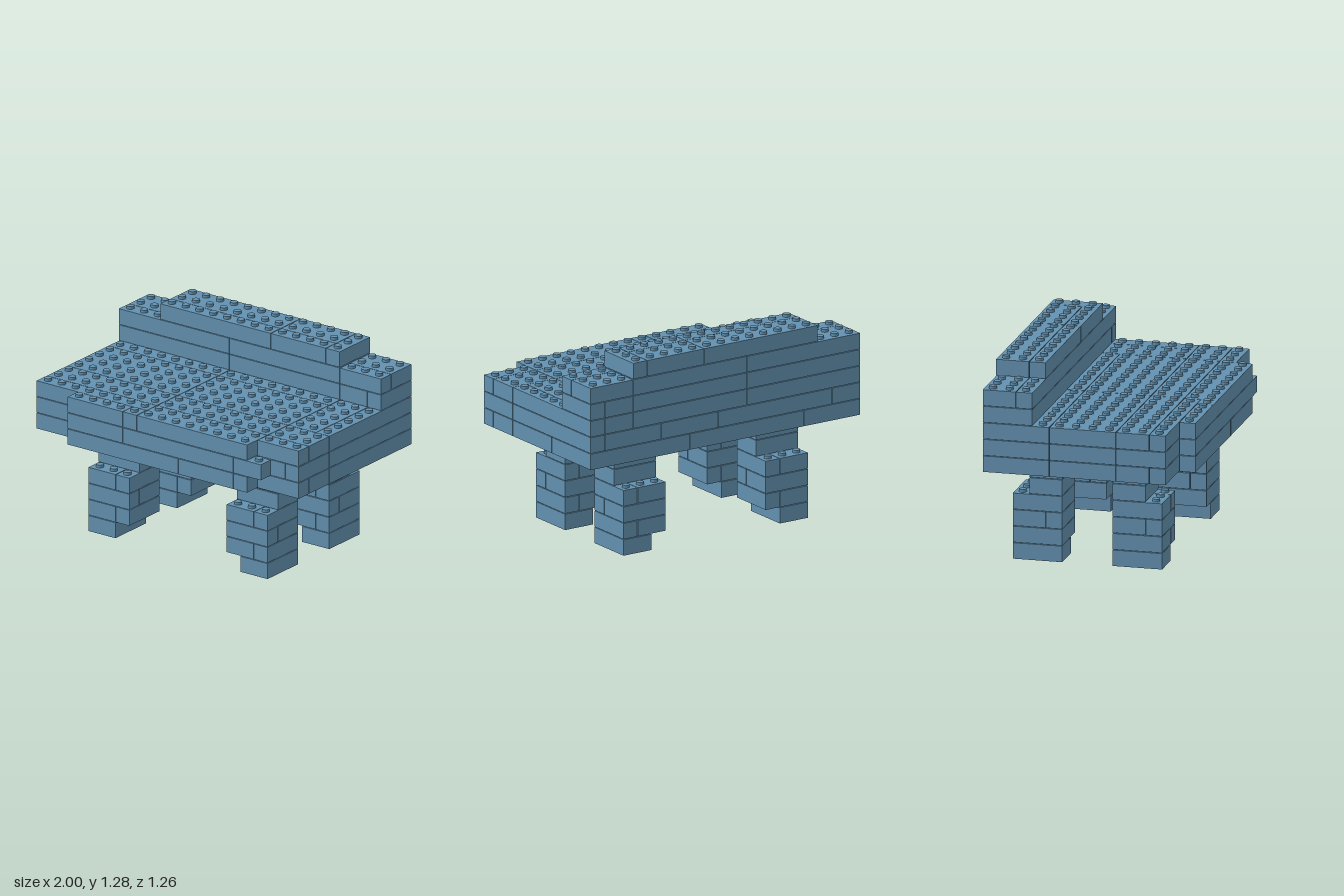
import * as THREE from 'three';
import { mergeGeometries } from 'three/addons/utils/BufferGeometryUtils.js';

const GAP = 0.004;             // seam between bricks
const P = (2 + GAP) / 19;      // grid pitch, also the layer height
const COLS = 19, ROWS = 12;
const STUD_R = 0.024, STUD_H = 0.018;

// Split a band of rows z0..z1 into bricks at the given columns
const band = (y, z0, z1, ...xs) =>
  xs.slice(1).map((x1, i) => ({ y, z0, z1, x0: xs[i], x1 }));

// One leg: narrow foot, stacked shin with a studded ledge, slimmer upper leg
function legBricks(x0, footX, splitX, z0, z1, splitZ, upperZ0, upperZ1) {
  const x1 = x0 + 3;
  return [
    ...band(0, z0, z1, footX, footX + 2),
    ...band(1, z0, z1, x0, splitX, x1),
    ...band(2, z0, splitZ, x0, x1),
    ...band(2, splitZ, z1, x0, x1),
    ...band(3, z0, z1, x0, splitX, x1),
    ...band(4, upperZ0, upperZ1, x0, x1),
    ...band(5, upperZ0, upperZ1, x0, x1),
  ];
}

const parts = {
  frontRightLeg: legBricks(3, 3, 5, 7, 10, 9, 7, 9),
  frontLeftLeg: legBricks(13, 14, 15, 7, 10, 9, 7, 9),
  backRightLeg: legBricks(3, 3, 5, 1, 4, 3, 2, 4),
  backLeftLeg: legBricks(13, 14, 15, 1, 4, 3, 2, 4),
  seatBottomLayer: [
    ...band(6, 0, 4, 0, 4, 12, 19),
    ...band(6, 4, 8, 0, 8, 16, 19),
    ...band(6, 8, 10, 0, 8, 16, 19),
    ...band(6, 10, 11, 0, 8, 16, 19),
    ...band(6, 11, 12, 3, 11, 15, 16),
  ],
  seatMiddleLayer: [
    ...band(7, 0, 4, 0, 2, 10, 14, 18),
    ...band(7, 4, 8, 0, 8, 18),
    ...band(7, 0, 8, 18, 19),
    ...band(7, 8, 11, 0, 3, 11, 18, 19),
    ...band(7, 11, 12, 3, 7, 15, 17),
  ],
  seatTopLayer: [
    ...band(8, 0, 4, 0, 8, 16),
    ...band(8, 4, 8, 0, 8, 16),
    ...band(8, 0, 8, 16, 18, 19),
    ...band(8, 8, 10, 0, 8, 16, 19),
    ...band(8, 10, 11, 0, 8),
    ...band(8, 10, 12, 8, 16),
    ...band(8, 10, 11, 16, 19),
    ...band(8, 11, 12, 3, 7, 8),
  ],
  backrest: [
    ...band(9, 0, 3, 0, 8, 16, 18, 19),
    ...band(10, 0, 2, 0, 8, 16, 19),
    ...band(10, 2, 3, 0, 8, 16, 19),
  ],
  backrestCap: [
    ...band(11, 0, 2, 3, 11, 15),
    ...band(11, 2, 3, 3, 11, 15),
    ...band(11, 0, 3, 15, 16),
  ],
};

const gridX = (c) => (c - COLS / 2) * P;
const gridZ = (r) => (r - ROWS / 2) * P;

function brickGeometry({ x0, x1, y, z0, z1 }) {
  const h = P - GAP;
  return new THREE.BoxGeometry((x1 - x0) * P - GAP, h, (z1 - z0) * P - GAP)
    .translate(gridX((x0 + x1) / 2), y * P + h / 2, gridZ((z0 + z1) / 2));
}

export function createModel() {
  const model = new THREE.Group();
  model.name = 'brickBench';
  const brickBlue = new THREE.MeshStandardMaterial({ color: 0x6391b0 });
  brickBlue.name = 'brickBlue';

  const all = Object.values(parts).flat();
  const covered = (c, y, r) => all.some((b) =>
    b.y === y && c >= b.x0 && c < b.x1 && r >= b.z0 && r < b.z1);
  const stud = new THREE.CylinderGeometry(STUD_R, STUD_R, STUD_H, 16);

  for (const [name, bricks] of Object.entries(parts)) {
    const group = new THREE.Group();
    group.name = name;
    const studs = [];
    // Studs only where no brick sits on top
    for (const b of bricks)
      for (let c = b.x0; c < b.x1; c++)
        for (let r = b.z0; r < b.z1; r++)
          if (!covered(c, b.y + 1, r))
            studs.push(stud.clone().translate(
              gridX(c + 0.5), (b.y + 1) * P - GAP + STUD_H / 2, gridZ(r + 0.5)));

    const body = new THREE.Mesh(mergeGeometries(bricks.map(brickGeometry)), brickBlue);
    body.name = name + 'Bricks';
    group.add(body);
    if (studs.length) {
      const knobs = new THREE.Mesh(mergeGeometries(studs), brickBlue);
      knobs.name = name + 'Studs';
      group.add(knobs);
    }
    model.add(group);
  }
  return model;
}
